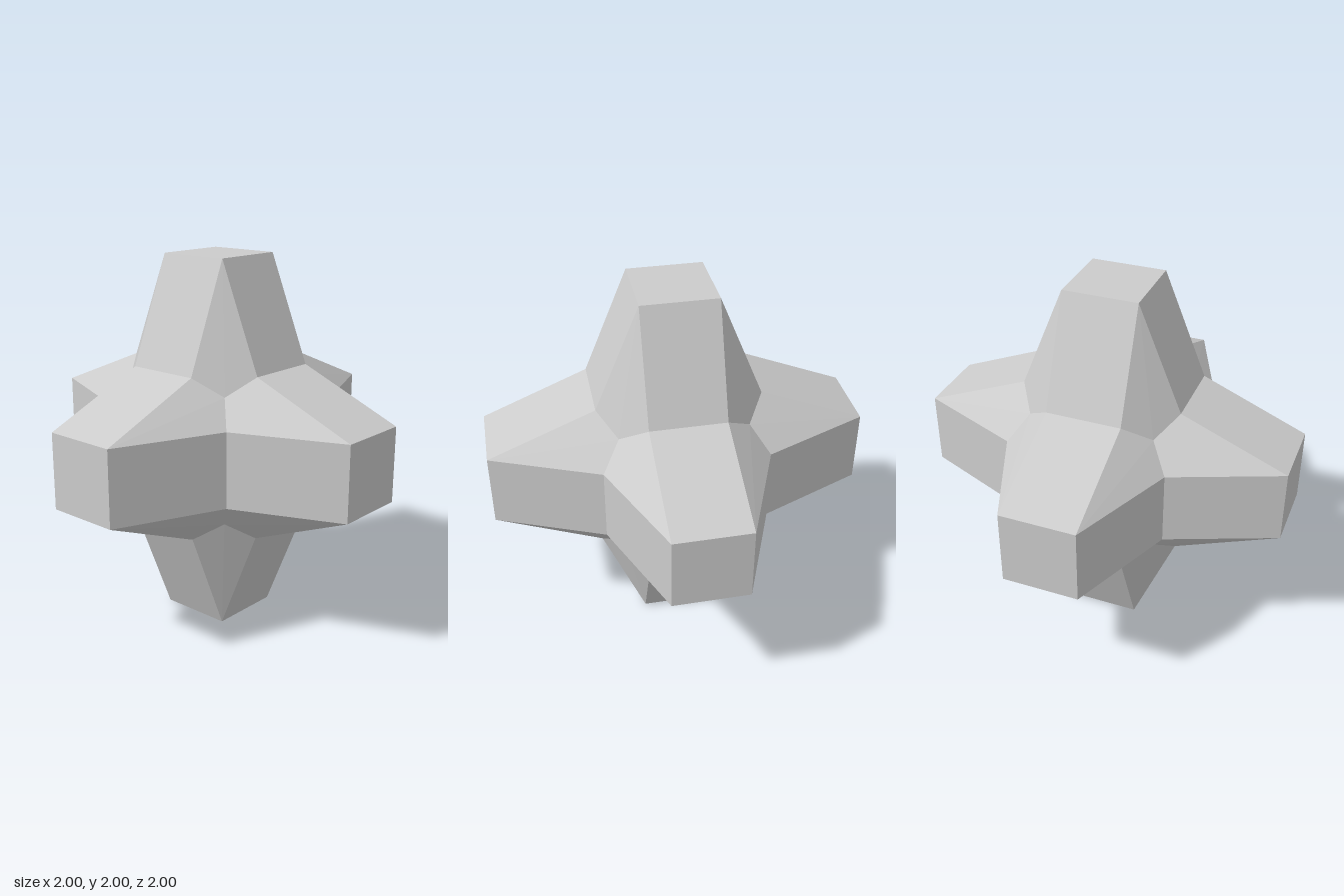
import * as THREE from 'three';

const TIP = 0.2;      // half width of an arm's square end
const VALLEY = 0.433; // where two neighbouring arms meet
const CORNER = 0.338; // where three neighbouring arms meet

// One arm along +y: square end, four flat sides and four corner facets
function armGeometry() {
  const positions = [];
  const Y = new THREE.Vector3(0, 1, 0);
  const addFace = (turn, points) => {
    const p = points.map((c) => new THREE.Vector3(...c).applyAxisAngle(Y, turn));
    for (let i = 1; i < p.length - 1; i++) {
      for (const v of [p[0], p[i], p[i + 1]]) positions.push(v.x, v.y, v.z);
    }
  };
  for (let i = 0; i < 4; i++) {
    const turn = (i * Math.PI) / 2;
    const tipFront = [TIP, 1, TIP];
    const tipBack = [TIP, 1, -TIP];
    const valleyFront = [VALLEY, VALLEY, TIP];
    const valleyBack = [VALLEY, VALLEY, -TIP];
    // quarter of the end
    addFace(turn, [[0, 1, 0], tipFront, tipBack]);
    // sloping side
    addFace(turn, [tipFront, valleyFront, valleyBack, tipBack]);
    // kite-shaped corner facet
    addFace(turn, [tipFront, [TIP, VALLEY, VALLEY], [CORNER, CORNER, CORNER], valleyFront]);
  }
  const geometry = new THREE.BufferGeometry();
  geometry.setAttribute('position', new THREE.Float32BufferAttribute(positions, 3));
  geometry.computeVertexNormals();
  return geometry;
}

export function createModel() {
  const model = new THREE.Group();
  model.name = 'sixArmedBlock';
  const material = new THREE.MeshStandardMaterial({ color: 0xcccccc, flatShading: true });
  const geometry = armGeometry();
  const q = Math.PI / 2;

  // Six identical arms turned to the six axis directions
  const arms = [
    ['topArm', 0, 0],
    ['bottomArm', Math.PI, 0],
    ['frontArm', q, 0],
    ['backArm', -q, 0],
    ['leftArm', 0, -q],
    ['rightArm', 0, q],
  ];
  for (const [name, rx, rz] of arms) {
    const arm = new THREE.Mesh(geometry, material);
    arm.name = name;
    arm.rotation.set(rx, 0, rz);
    arm.position.y = 1;
    model.add(arm);
  }
  return model;
}
